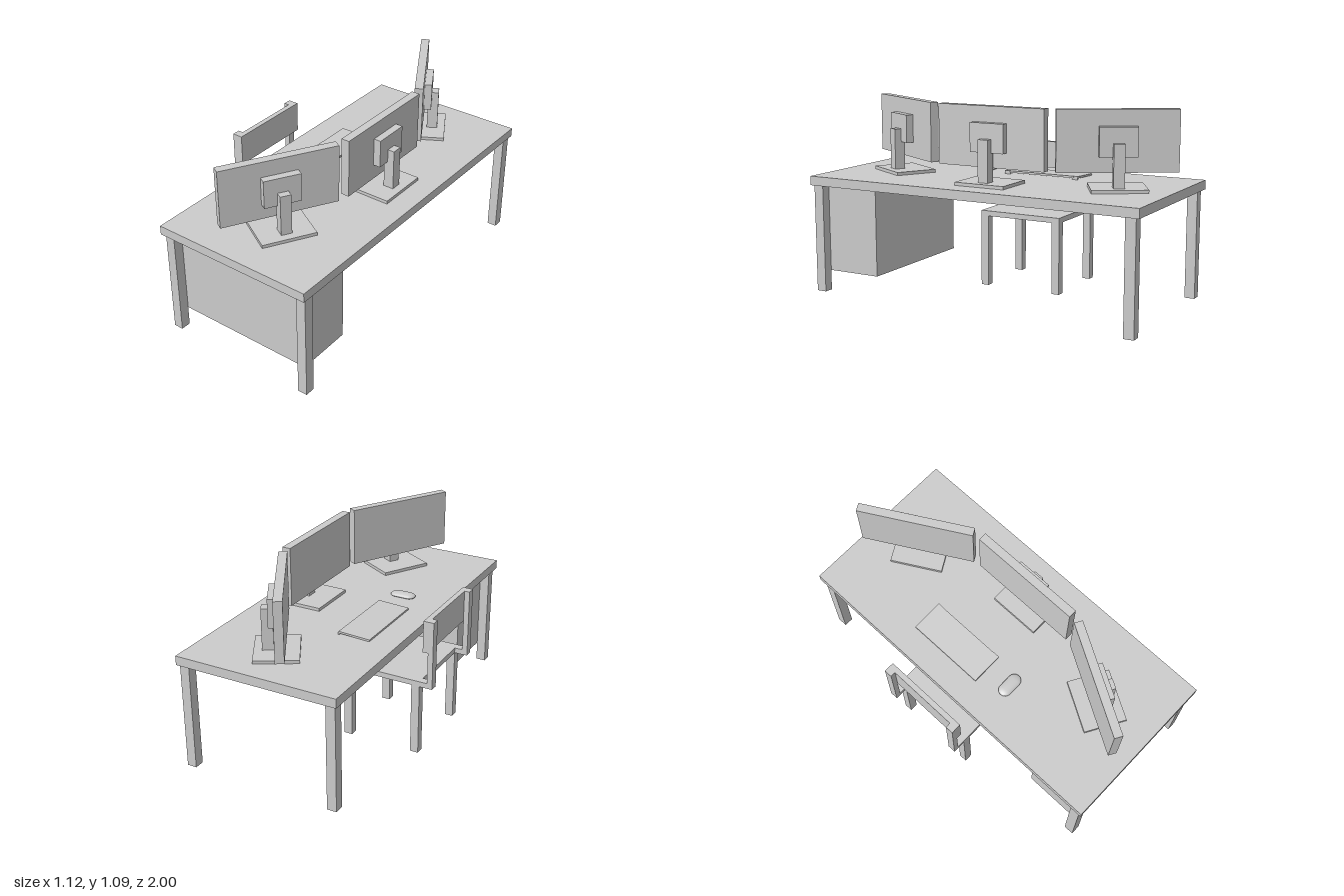
import * as THREE from 'three';

const grey = new THREE.MeshStandardMaterial({ color: 0xcccccc, flatShading: true });
const smooth = new THREE.MeshStandardMaterial({ color: 0xcccccc });

// Box given by its lower and upper limits on each axis
function box(parent, name, [x0, x1], [y0, y1], [z0, z1]) {
  const mesh = new THREE.Mesh(new THREE.BoxGeometry(x1 - x0, y1 - y0, z1 - z0), grey);
  mesh.position.set((x0 + x1) / 2, (y0 + y1) / 2, (z0 + z1) / 2);
  mesh.name = name;
  parent.add(mesh);
  return mesh;
}

function group(parent, name) {
  const g = new THREE.Group();
  g.name = name;
  parent.add(g);
  return g;
}

const TOP = 0.665; // height of the desk surface
const MID = -0.027; // z of the middle of the workplace

function addDesk(parent) {
  const desk = group(parent, 'desk');
  box(desk, 'deskTop', [-0.39, 0.56], [0.613, TOP], [-1, 1]);
  for (const x of [[-0.373, -0.318], [0.495, 0.55]])
    for (const z of [[-0.98, -0.922], [0.922, 0.98]]) box(desk, 'deskLeg', x, [0, 0.613], z);
  box(desk, 'cabinet', [-0.318, 0.495], [0.115, 0.613], [0.6, 0.922]);
}

function addChair(parent) {
  const chair = group(parent, 'chair');
  chair.position.z = MID;
  const w = 0.252, t = 0.046; // half width, post thickness
  box(chair, 'seat', [-0.485, -0.025], [0.412, 0.442], [-w, w]);
  box(chair, 'backrest', [-0.53, -0.5], [0.622, 0.802], [t - w, w - t]);

  // Side post: foot bracket, slim upright and wider head in one profile
  const profile = new THREE.Shape([
    [-0.56, 0.412], [-0.485, 0.412], [-0.485, 0.442], [-0.53, 0.442],
    [-0.53, 0.622], [-0.5, 0.622], [-0.5, 0.802], [-0.56, 0.802],
  ].map(([x, y]) => new THREE.Vector2(x, y)));
  const postGeometry = new THREE.ExtrudeGeometry(profile, { depth: t, bevelEnabled: false });

  for (const z of [-w, w - t]) {
    const post = new THREE.Mesh(postGeometry, grey);
    post.name = 'backPost';
    post.position.z = z;
    chair.add(post);
    for (const x of [[-0.485, -0.438], [-0.073, -0.025]]) box(chair, 'chairLeg', x, [0, 0.412], [z, z + t]);
  }
}

// Monitor centred on its screen; the stand is on local +x
function addMonitor(parent, x, z, angle) {
  const monitor = group(parent, 'monitor');
  monitor.position.set(x, 0, z);
  monitor.rotation.y = angle;
  box(monitor, 'screen', [-0.024, 0.024], [0.754, 1.088], [-0.325, 0.325]);
  box(monitor, 'mount', [0.024, 0.066], [0.84, 1], [-0.102, 0.102]);
  box(monitor, 'stem', [0.044, 0.105], [0.68, 0.915], [-0.03, 0.03]);
  box(monitor, 'base', [-0.092, 0.15], [TOP, 0.683], [-0.15, 0.15]);
}

function addKeyboard(parent) {
  const keyboard = group(parent, 'keyboard');
  // Thin slab, raised towards the screens
  const slab = box(keyboard, 'keyboardBody', [-0.237, -0.05], [0.6685, 0.6795], [-0.38, 0.083]);
  slab.rotation.z = 0.045;
  for (const z of [[-0.38, -0.345], [0.045, 0.08]]) box(keyboard, 'keyboardFoot', [-0.056, -0.047], [TOP, 0.678], z);
}

function addMouse(parent) {
  // Lying capsule, flattened underneath and arched on top
  const geometry = new THREE.CapsuleGeometry(0.037, 0.075, 8, 24, 6);
  geometry.rotateZ(Math.PI / 2);
  const p = geometry.attributes.position;
  for (let i = 0; i < p.count; i++) {
    const y = p.getY(i), u = (p.getX(i) + 0.015) / 0.13;
    p.setY(i, y > 0 ? y * (0.44 - 0.3 * u * u) : Math.max(y * 0.4, -0.007));
  }
  geometry.computeVertexNormals();
  const mouse = new THREE.Mesh(geometry, smooth);
  mouse.name = 'mouse';
  mouse.position.set(-0.125, TOP + 0.008, 0.237);
  parent.add(mouse);
}

export function createModel() {
  const model = new THREE.Group();
  model.name = 'workstation';
  addDesk(model);
  addChair(model);
  addMonitor(model, 0.282, MID, 0);
  for (const s of [-1, 1]) addMonitor(model, 0.108, MID + s * 0.657, -s * Math.PI / 6);
  addKeyboard(model);
  addMouse(model);
  return model;
}
